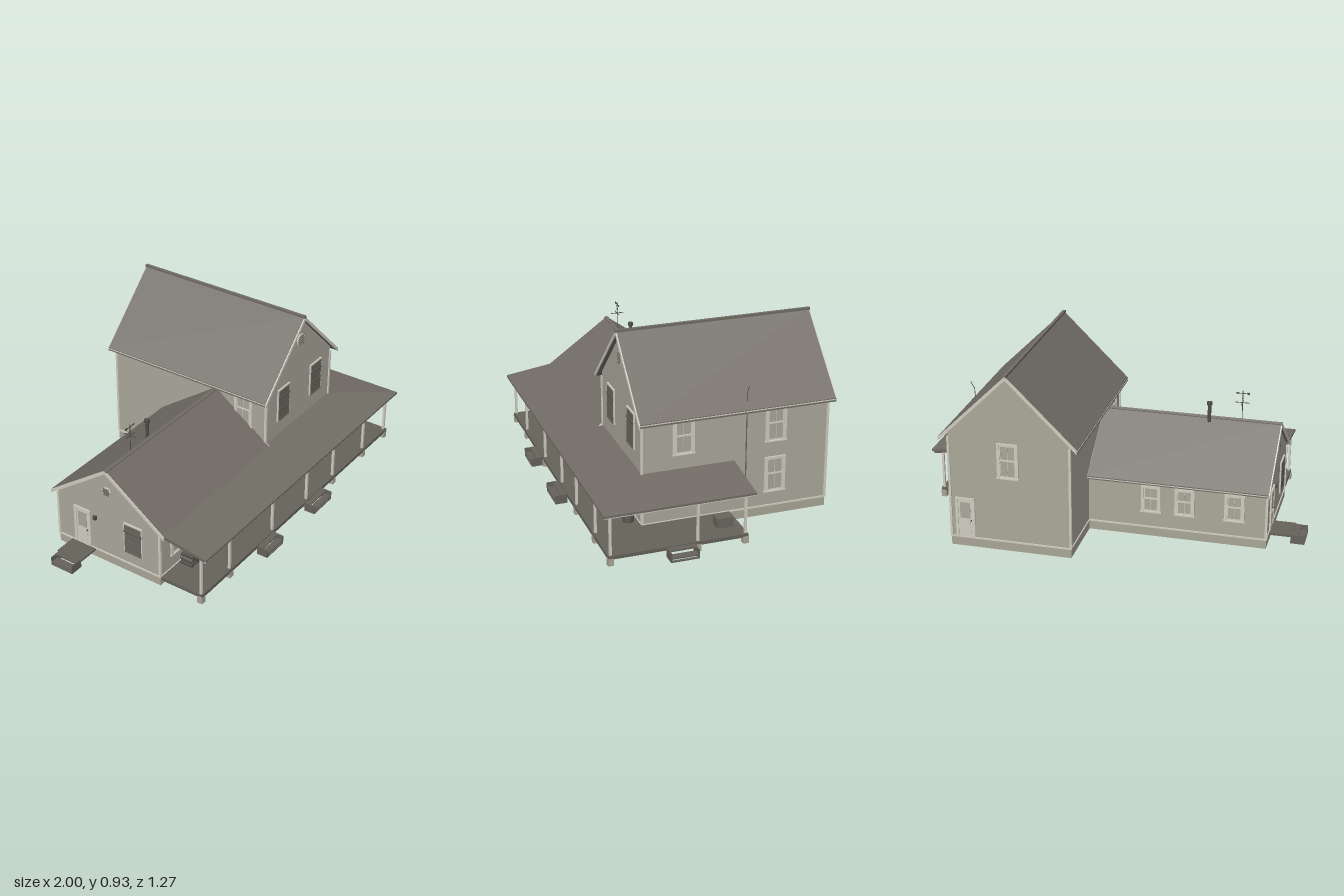
import * as THREE from 'three';

const mat = (name, color) => {
  const m = new THREE.MeshStandardMaterial({ color });
  m.name = name;
  return m;
};
const M = {
  siding: mat('siding', 0xaaa799), trim: mat('trim', 0xcfccc0), roof: mat('roofing', 0x716d65),
  deck: mat('deckWood', 0x66625a), base: mat('foundation', 0xa8a496), glass: mat('glass', 0xa9a69a),
  shutter: mat('shutter', 0x69665d), metal: mat('darkMetal', 0x4f4d47), under: mat('underfloor', 0xc3c1b8),
};

export function createModel() {
  const root = new THREE.Group();
  root.name = 'farmhouse';

  const add = (name, geo, m, parent = root) => {
    const o = new THREE.Mesh(geo, m);
    o.name = name;
    parent.add(o);
    return o;
  };
  // Box given by its limits on each axis
  const box = (name, m, x0, x1, y0, y1, z0, z1, parent = root) => {
    const o = add(name, new THREE.BoxGeometry(x1 - x0, y1 - y0, z1 - z0), m, parent);
    o.position.set((x0 + x1) / 2, (y0 + y1) / 2, (z0 + z1) / 2);
  };
  // Square beam between two points
  const beam = (name, m, p, q, w, h) => {
    const a = new THREE.Vector3(...p), b = new THREE.Vector3(...q);
    const o = add(name, new THREE.BoxGeometry(w, h, a.distanceTo(b)), m);
    o.position.copy(a).lerp(b, 0.5);
    o.lookAt(b);
  };
  const rod = (name, m, x, y0, y1, z, r, sides = 10) => {
    const o = add(name, new THREE.CylinderGeometry(r, r, y1 - y0, sides), m);
    o.position.set(x, (y0 + y1) / 2, z);
  };
  const group = (name, x, y, z, ry = 0) => {
    const g = new THREE.Group();
    g.name = name;
    g.position.set(x, y, z);
    g.rotation.y = ry;
    root.add(g);
    return g;
  };
  // Extrude a profile along z, or along x when alongX is set
  const extrude = (name, m, pts, from, to, centre, alongX) => {
    const geo = new THREE.ExtrudeGeometry(new THREE.Shape(pts.map(p => new THREE.Vector2(...p))),
      { depth: to - from, bevelEnabled: false });
    const o = add(name, geo, m);
    if (alongX) { o.rotation.y = Math.PI / 2; o.position.set(from, 0, centre); }
    else o.position.set(centre, 0, from);
  };
  const chevron = (w, e, r, t) => [[-w, e - t], [0, r - t], [w, e - t], [w, e], [0, r], [-w, e]];

  // Tall house and low wing: walls, roofs and rake boards
  extrude('tallWalls', M.siding, [[-0.305, 0.045], [0.305, 0.045], [0.305, 0.605], [0, 0.905], [-0.305, 0.605]], -0.61, 0.335, 0.385);
  extrude('tallRoof', M.roof, chevron(0.347, 0.584, 0.925, 0.018), -0.63, 0.355, 0.385);
  extrude('wingWalls', M.siding, [[-0.307, 0.045], [0.307, 0.045], [0.307, 0.308], [0, 0.531], [-0.307, 0.308]], -0.82, 0.085, 0.028, true);
  extrude('wingRoof', M.roof, chevron(0.34, 0.306, 0.549, 0.016), -0.83, 0.079, 0.028, true);
  for (const z of [-0.636, 0.355]) extrude('tallRakeBoard', M.trim, chevron(0.347, 0.583, 0.924, 0.02), z, z + 0.006, 0.385);
  for (const x of [-0.836, 0.079]) extrude('wingRakeBoard', M.trim, chevron(0.34, 0.305, 0.548, 0.02), x, x + 0.006, 0.028, true);
  box('tallRidgeCap', M.roof, 0.377, 0.393, 0.915, 0.929, -0.636, 0.361);
  extrude('wingRidgeCap', M.roof, chevron(0.012, 0.545, 0.552, 0.006), -0.836, 0.079, 0.028, true);
  for (const s of [-1, 1]) {
    const x = 0.385 + s * 0.347;
    box('tallEaveStrip', M.trim, x - 0.002, x + 0.002, 0.575, 0.58, -0.63, 0.355);
    const z = 0.028 + s * 0.339;
    box('wingEaveStrip', M.trim, -0.83, 0.079, 0.296, 0.301, z - 0.002, z + 0.002);
  }

  // Foundation rings, floors seen from below, sill bands and corner boards
  for (const [x0, x1, z0, z1, top] of [[0.08, 0.69, -0.61, 0.335, 0.58], [-0.82, 0.08, -0.279, 0.335, 0.3]]) {
    for (const [a, b, y0, y1, m, n] of [[0.014, 0.002, 0, 0.045, M.base, 'foundation'], [0.01, 0.005, 0.045, 0.053, M.trim, 'sillBand']]) {
      for (const z of [z0, z1]) box(n, m, x0 - b, x1 + b, y0, y1, z === z0 ? z - b : z - a, z === z0 ? z + a : z + b);
      for (const x of [x0, x1]) box(n, m, x === x0 ? x - b : x - a, x === x0 ? x + a : x + b, y0, y1, z0, z1);
    }
    box('floor', M.under, x0 + 0.01, x1 - 0.01, 0.012, 0.046, z0 + 0.01, z1 - 0.01);
    for (const x of [x0, x1]) for (const z of [z0, z1]) {
      if (x1 < 0.1 && x === x1) continue;
      box('cornerBoard', M.trim, x - 0.006, x + 0.006, 0.05, top, z - 0.006, z + 0.006);
    }
  }

  // Openings are built facing +z, with the origin at the bottom centre
  const opening = (name, x, y, z, ry, w, h) => {
    const g = group(name, x, y, z, ry), t = 0.014;
    for (const s of [-1, 1]) box('casing', M.trim, s * (w / 2 - t / 2) - t / 2, s * (w / 2 - t / 2) + t / 2, 0, h, 0, 0.008, g);
    box('headCasing', M.trim, -w / 2, w / 2, h - 0.01, h, 0, 0.008, g);
    return g;
  };
  const sash = (g, w, y0, y1, d) => {
    box('glass', M.glass, -w, w, y0, y1, 0, d, g);
    for (const y of [y0, y1 - 0.006]) box('sashRail', M.trim, -w, w, y, y + 0.006, 0, d + 0.002, g);
    for (const [x, t] of [[-w, 0.005], [-0.001, 0.002], [w - 0.005, 0.005]]) box('sashStile', M.trim, x, x + t, y0, y1, 0, d + 0.002, g);
  };
  const windowAt = (x, y, z, ry, w = 0.108, h = 0.18) => {
    const g = opening('window', x, y, z, ry, w, h), i = w / 2 - 0.014;
    sash(g, i, h / 2, h - 0.01, 0.002);
    sash(g, i, 0.004, h / 2 + 0.004, 0.005);
    box('sill', M.trim, -w / 2 - 0.003, w / 2 + 0.003, -0.005, 0.001, 0, 0.011, g);
  };
  const shutterAt = (x, y, z, ry, w = 0.108, h = 0.185) => {
    const g = opening('shutteredWindow', x, y, z, ry, w, h);
    box('shutter', M.shutter, -w / 2 + 0.006, w / 2 - 0.006, 0, h - 0.008, 0, 0.009, g);
    for (const y of [0.004, h * 0.38, h * 0.72]) box('shutterRail', M.shutter, -w / 2 + 0.006, w / 2 - 0.006, y, y + 0.008, 0, 0.011, g);
    box('shutterBar', M.metal, -w / 2, w / 2, h * 0.71, h * 0.71 + 0.003, 0, 0.012, g);
  };
  const doorAt = (x, z, ry, m, w = 0.1, h = 0.21) => {
    const g = opening('door', x, 0.052, z, ry, w, h), i = w / 2 - 0.014;
    box('doorLeaf', m, -i, i, 0, h - 0.01, 0, 0.004, g);
    box('upperPanel', m === M.trim ? M.glass : M.shutter, -i + 0.01, i - 0.01, h * 0.48, h - 0.025, 0, 0.006, g);
    box('lowerPanel', m, -i + 0.01, i - 0.01, 0.02, h * 0.4, 0, 0.006, g);
    box('knob', M.metal, i - 0.008, i - 0.003, h * 0.42, h * 0.445, 0, 0.012, g);
  };
  const R = Math.PI / 2, B = Math.PI;
  for (const x of [0.235, 0.543]) shutterAt(x, 0.4, 0.335, 0);
  for (const x of [-0.685, -0.02, 0.355, 0.545]) windowAt(x, 0.13, 0.335, 0, 0.108, 0.16);
  windowAt(-0.165, 0.13, 0.335, 0, 0.09, 0.16);
  doorAt(-0.285, 0.335, 0, M.trim);
  doorAt(0.18, 0.335, 0, M.shutter);
  for (const z of [0.128, -0.34]) for (const y of [0.127, 0.392]) windowAt(0.69, y, z, R);
  windowAt(0.08, 0.392, 0.2, -R);
  windowAt(0.39, 0.392, -0.61, B);
  doorAt(0.615, -0.61, B, M.trim);
  for (const x of [-0.24, -0.41, -0.66]) windowAt(x, 0.135, -0.279, B, 0.1, 0.14);
  doorAt(-0.82, -0.13, -R, M.trim);
  shutterAt(-0.82, 0.115, 0.18, -R, 0.11, 0.17);

  // Gable vents
  for (const [x, y, z, ry, r] of [[0.385, 0.785, 0.335, 0, 0.036], [-0.82, 0.42, 0.028, -R, 0.025]]) {
    const g = group('gableVent', x, y, z, ry);
    add('ventFrame', new THREE.CylinderGeometry(r, r, 0.012, 8).rotateY(Math.PI / 8).rotateX(R), M.trim, g);
    for (let k = -2; k <= 2; k++) {
      const w = r * (0.82 - Math.abs(k) * 0.12);
      box('ventSlat', M.shutter, -w, w, k * r * 0.32 - 0.002, k * r * 0.32 + 0.002, 0, 0.01, g);
    }
  }

  // Wraparound porch roof from two sloping slabs
  const slab = (name, m, pts, t) => {
    const lo = pts.map(([x, y, z]) => [x, y - t, z]), v = [];
    const quad = (a, b, c, d) => v.push(...a, ...b, ...c, ...a, ...c, ...d);
    quad(...pts);
    quad(...lo.slice().reverse());
    pts.forEach((p, i) => { const j = (i + 1) % 4; quad(lo[i], lo[j], pts[j], p); });
    const geo = new THREE.BufferGeometry();
    geo.setAttribute('position', new THREE.Float32BufferAttribute(v, 3));
    geo.computeVertexNormals();
    add(name, geo, m);
  };
  const hipOut = [0.971, 0.275, 0.607], hipIn = [0.69, 0.315, 0.335];
  slab('frontPorchRoof', M.roof, [[-0.83, 0.275, 0.607], hipOut, hipIn, [-0.83, 0.315, 0.335]], 0.011);
  slab('sidePorchRoof', M.roof, [hipOut, [0.971, 0.275, -0.13], [0.69, 0.315, -0.13], hipIn], 0.011);
  box('frontFascia', M.trim, -0.83, 0.966, 0.258, 0.266, 0.595, 0.603);
  box('sideFascia', M.trim, 0.959, 0.967, 0.258, 0.266, -0.128, 0.603);
  box('frontHeader', M.trim, -0.82, 0.93, 0.254, 0.268, 0.558, 0.572);
  box('sideHeader', M.trim, 0.915, 0.929, 0.254, 0.268, -0.105, 0.572);
  for (let k = 0; k <= 28; k++) {
    const x = -0.82 + k * 0.054;
    beam('frontRafter', M.deck, [x, 0.298, 0.335], [x, 0.26, 0.598], 0.008, 0.014);
  }
  for (let k = 0; k <= 8; k++) {
    const z = -0.122 + k * 0.056;
    beam('sideRafter', M.deck, [0.69, 0.298, z], [0.96, 0.26, z], 0.008, 0.014);
  }
  beam('hipRafter', M.deck, [0.69, 0.298, 0.335], [0.96, 0.26, 0.598], 0.01, 0.014);

  // Porch deck, rim boards, joists, posts and piers
  box('frontDeck', M.deck, -0.82, 0.935, 0.038, 0.05, 0.337, 0.578);
  box('sideDeck', M.deck, 0.693, 0.935, 0.038, 0.05, -0.108, 0.337);
  box('frontRim', M.deck, -0.82, 0.935, 0.032, 0.038, 0.568, 0.578);
  box('sideRim', M.deck, 0.925, 0.935, 0.032, 0.038, -0.108, 0.568);
  box('backRim', M.deck, 0.693, 0.925, 0.032, 0.038, -0.108, -0.098);
  for (let k = 0; k <= 32; k++) {
    const x = -0.815 + k * 0.0543;
    box('frontJoist', M.deck, x - 0.005, x + 0.005, 0.032, 0.038, 0.34, 0.568);
  }
  const posts = [-0.81, -0.575, -0.2, 0.12, 0.38, 0.69, 0.922].map(x => [x, 0.565]);
  posts.push([0.922, 0.14], [0.922, -0.097]);
  for (const [x, z] of posts) {
    box('porchPost', M.trim, x - 0.006, x + 0.006, 0.05, 0.258, z - 0.006, z + 0.006);
    box('porchPier', M.base, x - 0.014, x + 0.014, 0, 0.037, z - 0.014, z + 0.014);
  }

  // Steps lead towards +z in their own frame
  const steps = (x, z, ry, w, d) => {
    const g = group('steps', x, 0, z, ry);
    for (const s of [-1, 1]) {
      const c = s * (w / 2 - 0.003);
      box('stringer', M.deck, c - 0.003, c + 0.003, 0, 0.045, 0, d, g);
    }
    box('lowerTread', M.deck, -w / 2, w / 2, 0.016, 0.022, d * 0.4, d, g);
    box('upperTread', M.deck, -w / 2, w / 2, 0.039, 0.046, 0, d * 0.55, g);
    box('footBoard', M.deck, -w / 2, w / 2, 0, 0.005, d * 0.8, d, g);
  };
  steps(-0.28, 0.577, 0, 0.146, 0.06);
  steps(0.17, 0.577, 0, 0.166, 0.06);
  steps(0.932, 0.228, R, 0.14, 0.068);
  steps(-0.93, -0.127, -R, 0.13, 0.07);
  box('sideLanding', M.deck, -0.94, -0.822, 0.038, 0.048, -0.2, -0.055);

  // Stove pipe and weathervane
  rod('stovePipe', M.metal, -0.47, 0.52, 0.62, 0.005, 0.009);
  rod('pipeCap', M.metal, -0.47, 0.618, 0.634, 0.005, 0.014);
  rod('vanePole', M.metal, -0.632, 0.54, 0.7, 0.028, 0.002, 6);
  for (const [dx, dz] of [[0.035, 0], [0, 0.035]]) beam('vaneArm', M.metal, [-0.632 - dx, 0.637, 0.028 - dz], [-0.632 + dx, 0.637, 0.028 + dz], 0.003, 0.003);
  beam('vaneArrow', M.metal, [-0.667, 0.686, 0.028], [-0.597, 0.686, 0.028], 0.003, 0.003);
  box('vaneTail', M.metal, -0.667, -0.655, 0.68, 0.692, 0.027, 0.029);
  box('vaneHead', M.metal, -0.61, -0.6, 0.682, 0.69, 0.027, 0.029);
  add('vaneBall', new THREE.SphereGeometry(0.005, 8, 6), M.metal).position.set(-0.632, 0.66, 0.028);

  // Electric service mast and wall lamps
  rod('serviceConduit', M.shutter, 0.697, 0.18, 0.63, -0.187, 0.003, 8);
  beam('mastTop', M.shutter, [0.697, 0.628, -0.187], [0.7, 0.668, -0.187], 0.003, 0.003);
  beam('mastHead', M.shutter, [0.7, 0.667, -0.187], [0.719, 0.7, -0.187], 0.003, 0.003);
  box('meterBox', M.shutter, 0.69, 0.71, 0.152, 0.194, -0.194, -0.18);
  for (const x of [0.25, -0.21]) box('wallLamp', M.metal, x - 0.007, x + 0.007, 0.228, 0.248, 0.335, 0.352);
  box('wallLamp', M.metal, -0.834, -0.82, 0.228, 0.248, -0.058, -0.042);

  // Barrel, bench and crate
  const barrel = [[0, 0], [0.027, 0], [0.032, 0.09], [0, 0.09]].map(p => new THREE.Vector2(...p));
  add('barrel', new THREE.LatheGeometry(barrel, 16), M.shutter).position.set(0.627, 0.05, 0.383);
  for (const [y, r] of [[0.07, 0.029], [0.118, 0.0315]]) rod('barrelHoop', M.metal, 0.627, y, y + 0.004, 0.383, r, 16);
  box('benchSeat', M.deck, 0.395, 0.5, 0.09, 0.097, 0.36, 0.4);
  for (const x of [0.41, 0.48]) box('benchLeg', M.deck, x, x + 0.008, 0.05, 0.09, 0.365, 0.395);
  box('crate', M.shutter, 0.79, 0.845, 0.05, 0.1, -0.069, 0.013);

  // Chairs
  for (const x of [-0.145, -0.068]) {
    const g = group('chair', x, 0.05, 0.4);
    box('chairSeat', M.metal, -0.022, 0.022, 0.038, 0.043, -0.02, 0.022, g);
    for (const s of [-0.02, 0.02]) {
      box('frontLeg', M.metal, s - 0.003, s + 0.003, 0, 0.04, 0.015, 0.021, g);
      box('backLeg', M.metal, s - 0.003, s + 0.003, 0, 0.092, -0.021, -0.015, g);
    }
    for (const y of [0.055, 0.068, 0.08]) box('chairRung', M.metal, -0.02, 0.02, y, y + 0.006, -0.02, -0.016, g);
  }

  // Firewood stack and storage chest
  for (let r = 0; r < 4; r++) for (let k = 0; k < 10 - r % 2; k++) {
    const log = add('log', new THREE.CylinderGeometry(0.0085, 0.0085, 0.07, 7).rotateX(R), (k + r) % 3 ? M.deck : M.metal);
    log.position.set(-0.675 + k * 0.0165 + (r % 2) * 0.008, 0.0585 + r * 0.0145, 0.385);
  }
  box('chest', M.deck, -0.512, -0.44, 0.05, 0.098, 0.355, 0.41);
  box('chestLid', M.trim, -0.5, -0.445, 0.098, 0.13, 0.355, 0.365);

  return root;
}
